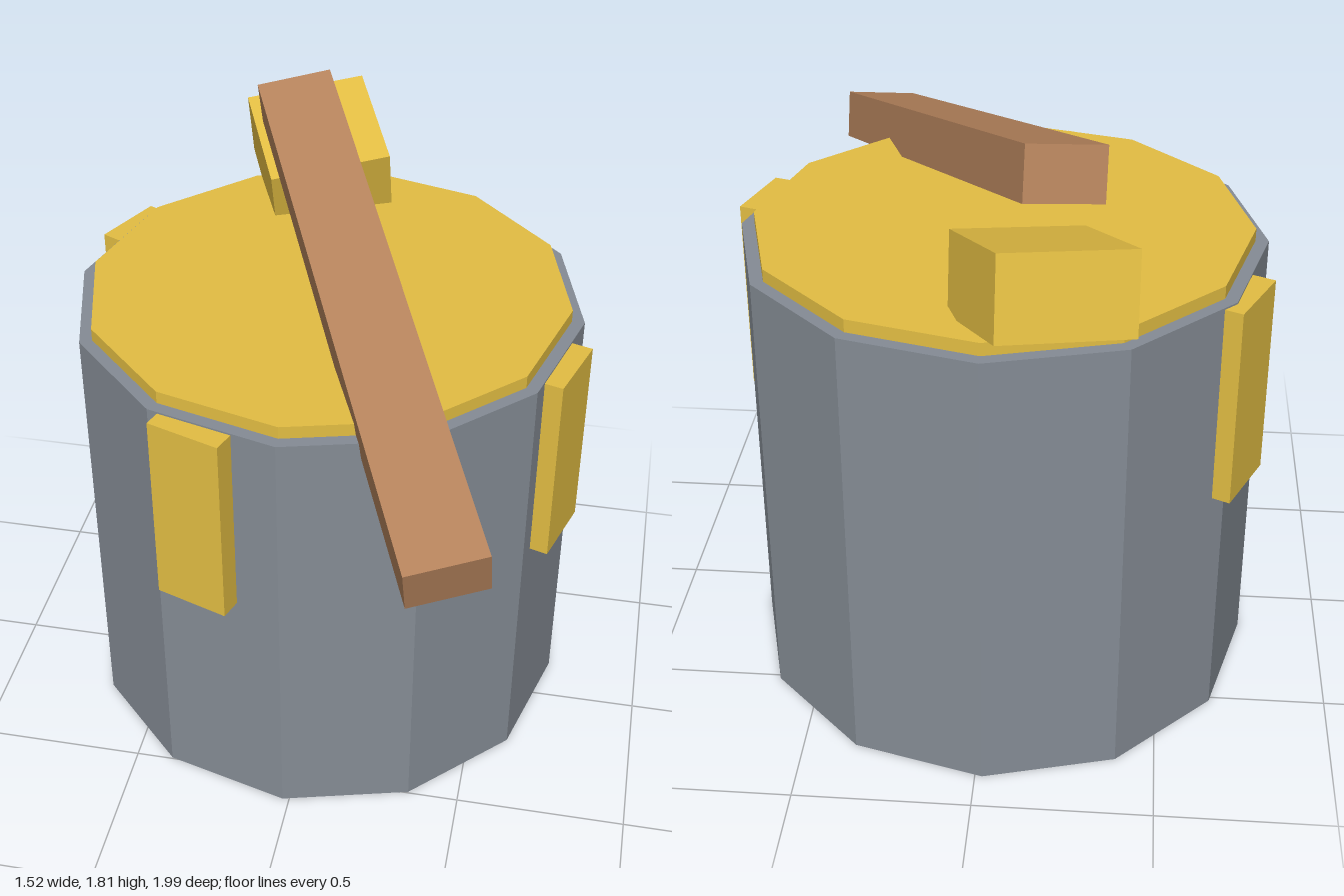
import * as THREE from 'three';

const paint = (color) => new THREE.MeshStandardMaterial({ color, flatShading: true });
const metal = paint(0x858c95);
const yellow = paint(0xe3be43);
const wood = paint(0xb5835c);

function addPart(parent, name, geometry, material, position) {
  const mesh = new THREE.Mesh(geometry, material);
  mesh.name = name;
  mesh.position.set(...position);
  parent.add(mesh);
  return mesh;
}

// Turns a part so its long axis (z) follows `along` and its top stays near `up`
function aim(mesh, along, up) {
  const z = new THREE.Vector3(...along).normalize();
  const x = new THREE.Vector3(...up).cross(z).normalize();
  const y = z.clone().cross(x);
  mesh.quaternion.setFromRotationMatrix(new THREE.Matrix4().makeBasis(x, y, z));
}

export function createModel() {
  const model = new THREE.Group();
  model.name = 'barrelWithLever';

  const height = 1.335;
  const body = new THREE.Group();
  body.name = 'barrelBody';
  body.position.set(-0.02, 0, -0.145);
  model.add(body);

  // Twelve-sided drum and its slightly smaller lid
  addPart(body, 'drum', new THREE.CylinderGeometry(0.74, 0.74, height, 12), metal, [0, height / 2, 0]);
  addPart(body, 'lid', new THREE.CylinderGeometry(0.703, 0.703, 0.06, 12), yellow, [0, 1.342, 0]);

  // Upright plates around the upper wall
  for (const degrees of [73, -19, -115]) {
    const turn = THREE.MathUtils.degToRad(degrees);
    const r = 0.723;
    const plate = addPart(body, 'sidePlate', new THREE.BoxGeometry(0.22, 0.585, 0.1), yellow,
      [r * Math.sin(turn), 1.0375, r * Math.cos(turn)]);
    plate.rotation.y = turn;
  }

  // Sloping wooden lever resting across the lid
  const lever = addPart(model, 'lever', new THREE.BoxGeometry(0.22, 0.147, 1.765), wood, [0.132, 1.485, 0.153]);
  aim(lever, [0.69, -0.485, 1.55], [-0.003, 0.14, 0.045]);

  // Tilted block under the raised end of the lever
  const block = addPart(model, 'block', new THREE.BoxGeometry(0.367, 0.22, 0.374), yellow, [-0.163, 1.485, -0.735]);
  aim(block, [0.145, -0.1, 0.33], [0, 0.21, 0.065]);

  return model;
}
